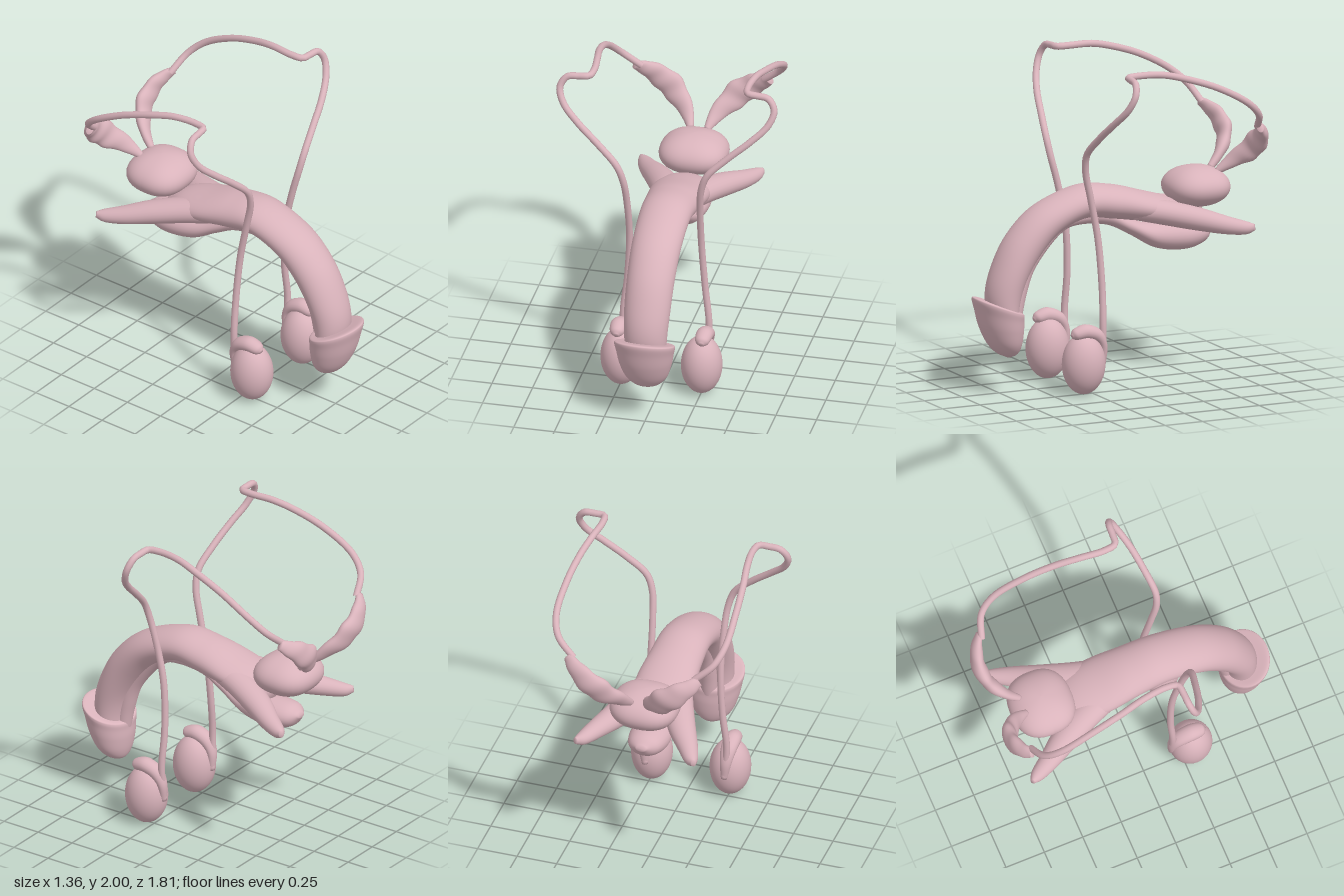
import * as THREE from 'three';

const V = (x, y, z) => new THREE.Vector3(x, y, z);
const material = new THREE.MeshStandardMaterial({ color: 0xd9b3bb, roughness: 0.7 });

function add(parent, name, geometry) {
  const mesh = new THREE.Mesh(geometry, material);
  mesh.name = name;
  parent.add(mesh);
  return mesh;
}

// Smooth closed skin over elliptical rings { c: centre, a, b: half axes }
function loft(rings, steps = 64, sides = 32, lump = () => 1) {
  const [C, A, B] = ['c', 'a', 'b'].map(k =>
    new THREE.CatmullRomCurve3(rings.map(r => r[k]), false, 'catmullrom', 0.5));
  const pos = [], index = [];
  for (let i = 0; i <= steps; i++) {
    const u = i / steps, c = C.getPoint(u), a = A.getPoint(u), b = B.getPoint(u);
    for (let j = 0; j < sides; j++) {
      const t = j / sides * Math.PI * 2, k = lump(u, t);
      const p = c.clone().addScaledVector(a, Math.cos(t) * k).addScaledVector(b, Math.sin(t) * k);
      pos.push(p.x, p.y, p.z);
    }
  }
  for (let i = 0; i < steps; i++) for (let j = 0; j < sides; j++) {
    const p = i * sides + j, q = i * sides + (j + 1) % sides;
    index.push(p, q, p + sides, q, q + sides, p + sides);
  }
  // End caps
  const first = pos.length / 3, last = steps * sides;
  pos.push(...rings[0].c.toArray(), ...rings[rings.length - 1].c.toArray());
  for (let j = 0; j < sides; j++) {
    const n = (j + 1) % sides;
    index.push(first, n, j, first + 1, last + j, last + n);
  }
  const g = new THREE.BufferGeometry();
  g.setAttribute('position', new THREE.Float32BufferAttribute(pos, 3));
  g.setIndex(index);
  g.computeVertexNormals();
  return g;
}

// Midline ring from its outer and inner contour points and its half width
const midRings = rows => rows.map(([z1, y1, z2, y2, w]) => ({
  c: V(0, (y1 + y2) / 2, (z1 + z2) / 2),
  a: V(-w, 0, 0),
  b: V(0, (y1 - y2) / 2, (z1 - z2) / 2),
}));

// Rings square to a path of [x, y, z, half width, half depth]; ref is the width direction
function pathRings(rows, s, ref) {
  const pts = rows.map(([x, y, z]) => V(x * s, y, z));
  return rows.map((r, i) => {
    const t = pts[Math.min(i + 1, pts.length - 1)].clone().sub(pts[Math.max(i - 1, 0)]).normalize();
    const side = ref.clone().addScaledVector(t, -ref.dot(t)).normalize();
    const up = t.clone().cross(side);
    return { c: pts[i], a: side.multiplyScalar(r[3]), b: up.multiplyScalar(r[4]) };
  });
}

export function createModel() {
  const model = new THREE.Group();
  model.name = 'reproductiveAnatomy';

  // Curved shaft
  add(model, 'shaft', loft(midRings([
    [0.80, 0.40, 0.64, 0.36, 0.12], [0.83, 0.60, 0.63, 0.54, 0.13], [0.785, 0.78, 0.585, 0.69, 0.14],
    [0.68, 0.97, 0.49, 0.84, 0.145], [0.50, 1.13, 0.37, 0.96, 0.15], [0.22, 1.23, 0.20, 1.03, 0.155],
    [0.00, 1.215, 0.02, 1.01, 0.165], [-0.20, 1.16, -0.18, 0.98, 0.18], [-0.36, 1.11, -0.34, 0.95, 0.16],
    [-0.47, 1.05, -0.46, 0.96, 0.08],
  ]), 80, 40));

  // Lower spongy column with its bulb
  add(model, 'spongyColumn', loft(midRings([
    [0.70, 0.42, 0.61, 0.42, 0.05], [0.68, 0.60, 0.575, 0.59, 0.055], [0.62, 0.84, 0.51, 0.76, 0.06],
    [0.42, 1.05, 0.35, 0.945, 0.065], [0.22, 1.10, 0.22, 0.99, 0.07], [0.06, 1.09, 0.03, 0.97, 0.07],
    [-0.07, 1.02, -0.13, 0.89, 0.075], [-0.23, 0.96, -0.29, 0.80, 0.10], [-0.44, 0.96, -0.47, 0.775, 0.125],
    [-0.58, 0.95, -0.60, 0.81, 0.10], [-0.65, 0.91, -0.66, 0.88, 0.03],
  ]), 80, 28));

  // Flared end cap, from tip to rolled rim
  add(model, 'glans', loft(midRings([
    [0.70, 0.22, 0.67, 0.22, 0.015], [0.77, 0.255, 0.635, 0.245, 0.08], [0.825, 0.32, 0.615, 0.30, 0.13],
    [0.87, 0.42, 0.605, 0.38, 0.16], [0.895, 0.52, 0.605, 0.44, 0.175], [0.91, 0.585, 0.605, 0.475, 0.185],
    [0.895, 0.60, 0.615, 0.49, 0.175], [0.83, 0.575, 0.65, 0.50, 0.12],
  ]), 56, 40));

  // Prostate: a sphere squared off slightly in plan
  const gland = new THREE.SphereGeometry(1, 40, 28), p = gland.attributes.position;
  for (let i = 0; i < p.count; i++) {
    const x = p.getX(i), z = p.getZ(i), t = Math.atan2(z, x);
    const k = Math.pow(Math.abs(Math.cos(t)) ** 2.5 + Math.abs(Math.sin(t)) ** 2.5, -0.4);
    p.setXYZ(i, x * k * 0.21, p.getY(i) * 0.125, z * k * 0.195);
  }
  gland.computeVertexNormals();
  add(model, 'prostate', gland).position.set(0, 1.155, -0.563);

  for (const s of [1, -1]) {
    const half = new THREE.Group();
    half.name = s > 0 ? 'leftSide' : 'rightSide';
    model.add(half);

    // Diverging root of the shaft
    add(half, 'crus', loft(pathRings([
      [0.07, 1.07, -0.12, 0.08, 0.07], [0.115, 1.035, -0.30, 0.095, 0.075], [0.20, 0.995, -0.48, 0.085, 0.07],
      [0.29, 0.96, -0.63, 0.062, 0.055], [0.345, 0.945, -0.73, 0.042, 0.04], [0.375, 0.95, -0.775, 0.015, 0.02],
    ], s, V(s, 0, 0)), 40, 24));

    // Flattened, lumpy seminal vesicle
    add(half, 'seminalVesicle', loft(pathRings([
      [0.05, 1.24, -0.68, 0.02, 0.02], [0.085, 1.30, -0.75, 0.045, 0.03], [0.15, 1.365, -0.82, 0.07, 0.04],
      [0.22, 1.43, -0.855, 0.083, 0.043], [0.30, 1.49, -0.855, 0.07, 0.04], [0.37, 1.54, -0.825, 0.05, 0.03],
      [0.415, 1.57, -0.79, 0.03, 0.02],
    ], s, V(-s, 1, 0)), 48, 24,
    (u, t) => 1 + 0.07 * Math.sin(u * 26 + 2 * Math.cos(t)) * Math.sin(Math.PI * u)));

    // Testis with epididymis draped over its top and back
    const testis = add(half, 'testis', new THREE.SphereGeometry(1, 32, 24));
    testis.scale.set(0.125, 0.185, 0.133);
    testis.position.set(s * 0.248, 0.19, 0.307);
    add(half, 'epididymis', loft(pathRings([
      [0.262, 0.365, 0.39, 0.015, 0.015], [0.262, 0.378, 0.365, 0.042, 0.036], [0.264, 0.39, 0.30, 0.052, 0.045],
      [0.262, 0.36, 0.225, 0.048, 0.04], [0.258, 0.29, 0.185, 0.036, 0.028], [0.25, 0.18, 0.182, 0.02, 0.02],
    ], s, V(s, 0, 0)), 36, 20));

    // Long duct looping up, back and down to the vesicle
    const duct = new THREE.CatmullRomCurve3([
      [0.25, 0.20, 0.18], [0.265, 0.40, 0.185], [0.24, 0.65, 0.18], [0.222, 0.95, 0.20], [0.225, 1.20, 0.25],
      [0.24, 1.37, 0.29], [0.28, 1.48, 0.30], [0.40, 1.60, 0.275], [0.53, 1.71, 0.24], [0.63, 1.81, 0.195],
      [0.66, 1.90, 0.16], [0.62, 1.965, 0.14], [0.55, 1.975, 0.135], [0.49, 1.978, 0.125], [0.475, 1.98, 0.05],
      [0.49, 1.975, -0.10], [0.515, 1.94, -0.25], [0.535, 1.87, -0.45], [0.535, 1.76, -0.65],
      [0.49, 1.67, -0.745], [0.38, 1.57, -0.79],
    ].map(([x, y, z]) => V(s * x, y, z)));
    add(half, 'vasDeferens', new THREE.TubeGeometry(duct, 160, 0.021, 12));
  }
  return model;
}
